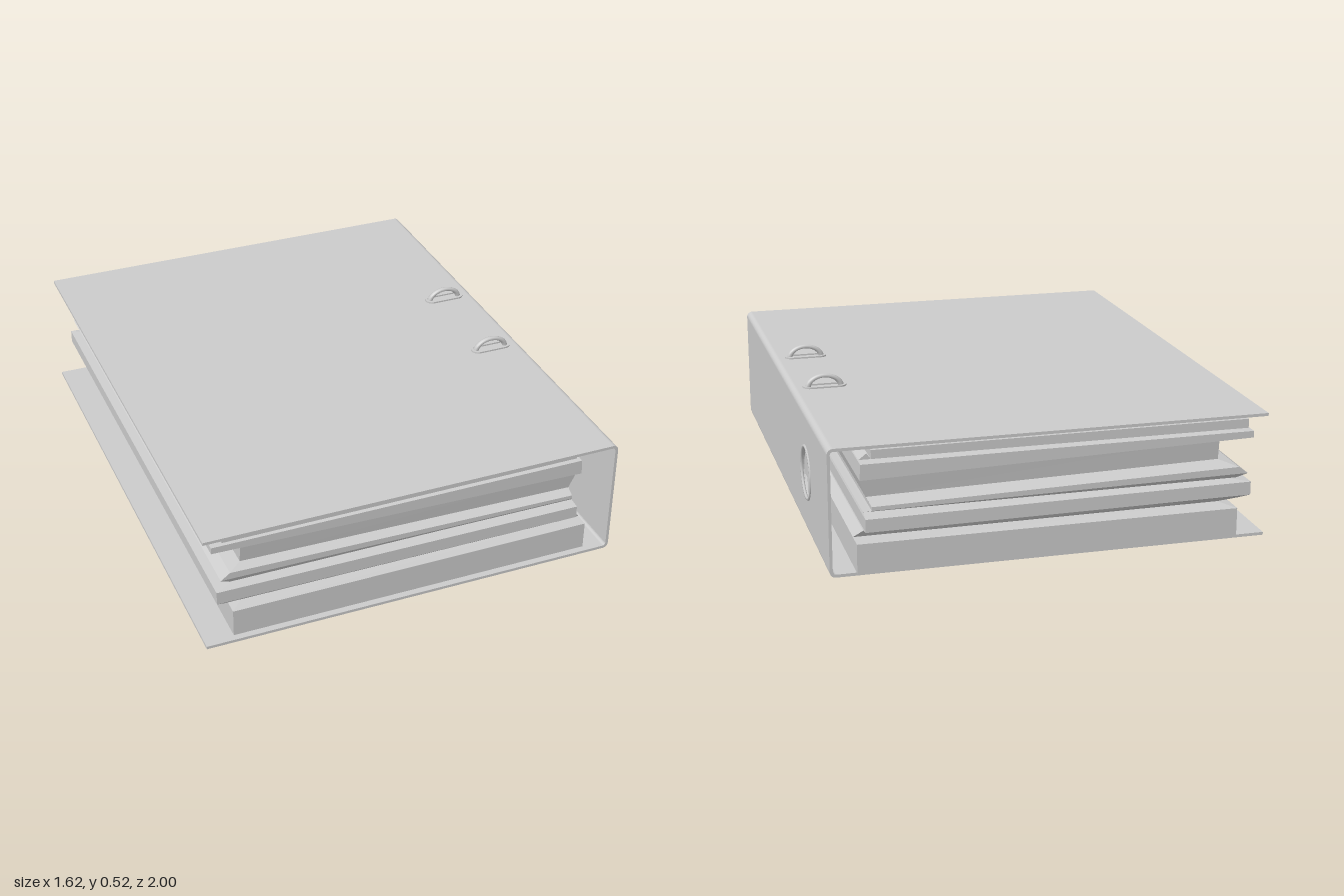
import * as THREE from 'three';

const W = 0.8, H = 0.468, T = 0.011, R = 0.022;   // cover edge, height, thickness, corner radius
const Z0 = -0.99, Z1 = 0.995;

export function createModel() {
  const group = new THREE.Group();
  const grey = new THREE.MeshStandardMaterial({ color: 0xcccccc });
  const paper = new THREE.MeshStandardMaterial({ color: 0xcccccc, flatShading: true, side: THREE.DoubleSide });
  const add = (name, geometry, material = grey, parent = group) => {
    const mesh = new THREE.Mesh(geometry, material);
    mesh.name = name;
    parent.add(mesh);
    return mesh;
  };

  // Cover boards, each ending in a rounded fold towards the spine
  const board = (top) => {
    const s = new THREE.Shape();
    const y = (v) => (top ? H - v : v);
    s.moveTo(-0.81, y(0));
    s.lineTo(W - R, y(0));
    s.absarc(W - R, y(R), R, top ? Math.PI / 2 : -Math.PI / 2, 0, top);
    s.lineTo(W - T, y(R));
    s.absarc(W - R, y(R), R - T, 0, top ? Math.PI / 2 : -Math.PI / 2, !top);
    s.lineTo(-0.81, y(T));
    const g = new THREE.ExtrudeGeometry(s, { depth: Z1 - Z0, bevelEnabled: false, curveSegments: 4 });
    return g.translate(0, 0, Z0);
  };
  add('topCover', board(true));
  add('bottomCover', board(false));

  // Spine with the finger hole, drawn in (-z, y)
  const holeZ = -0.54, holeY = 0.235, holeR = 0.098;
  const spine = new THREE.Shape();
  spine.moveTo(-Z1, R);
  spine.lineTo(-Z0, R);
  spine.lineTo(-Z0, H - R);
  spine.lineTo(-Z1, H - R);
  const hole = new THREE.Path();
  hole.absarc(-holeZ, holeY, holeR, 0, Math.PI * 2, true);
  spine.holes.push(hole);
  add('spine', new THREE.ExtrudeGeometry(spine, { depth: T, bevelEnabled: false, curveSegments: 16 })
    .rotateY(Math.PI / 2).translate(W - T, 0, 0));

  // Metal rim around the finger hole
  const rim = add('fingerHoleRim', new THREE.TorusGeometry(holeR, 0.006, 6, 32).rotateY(Math.PI / 2));
  rim.position.set(W, holeY, holeZ);

  // Paper stack lofted from uneven rectangles:
  // [y at left, y at right, left x, right x, back z, front z]
  const rows = [
    [0.011, 0.011, -0.70, 0.705, -1.00, 0.97],
    [0.118, 0.118, -0.70, 0.705, -1.00, 0.97],
    [0.125, 0.120, -0.65, 0.705, -0.93, 0.92],
    [0.140, 0.148, -0.72, 0.672, -0.95, 0.94],
    [0.160, 0.152, -0.755, 0.670, -0.985, 0.96],
    [0.210, 0.200, -0.755, 0.670, -0.985, 0.96],
    [0.218, 0.208, -0.66, 0.667, -0.93, 0.92],
    [0.230, 0.228, -0.70, 0.655, -0.98, 0.94],
    [0.250, 0.236, -0.735, 0.650, -1.00, 0.95],
    [0.276, 0.250, -0.70, 0.650, -1.00, 0.95],
    [0.285, 0.260, -0.65, 0.655, -0.92, 0.91],
    [0.370, 0.335, -0.65, 0.682, -0.93, 0.92],
    [0.373, 0.338, -0.765, 0.685, -0.97, 0.945],
    [0.398, 0.396, -0.765, 0.682, -0.97, 0.945],
    [0.402, 0.400, -0.65, 0.680, -0.93, 0.92],
    [0.420, 0.422, -0.65, 0.652, -0.93, 0.92],
    [0.422, 0.424, -0.73, 0.650, -1.00, 0.96],
    [0.456, 0.456, -0.73, 0.650, -1.00, 0.96],
  ];
  const pos = [], idx = [];
  for (const [yl, yr, x0, x1, z0, z1] of rows) {
    pos.push(x0, yl, z1, x1, yr, z1, x1, yr, z0, x0, yl, z0);
  }
  for (let r = 0; r < rows.length - 1; r++) {
    for (let c = 0; c < 4; c++) {
      const a = r * 4 + c, b = r * 4 + (c + 1) % 4;
      idx.push(a, b, b + 4, a, b + 4, a + 4);
    }
  }
  const t = (rows.length - 1) * 4;
  idx.push(0, 2, 1, 0, 3, 2, t, t + 1, t + 2, t, t + 2, t + 3);
  const stack = new THREE.BufferGeometry();
  stack.setAttribute('position', new THREE.Float32BufferAttribute(pos, 3));
  stack.setIndex(idx);
  stack.computeVertexNormals();
  add('paperStack', stack, paper);

  // Stadium outline used by the slot eyelets
  const stadium = (path, half, r) => {
    path.absarc(half, 0, r, -Math.PI / 2, Math.PI / 2, false);
    path.absarc(-half, 0, r, Math.PI / 2, Math.PI * 1.5, false);
    path.closePath();
    return path;
  };

  // Two rings: posts, arch over the cover and an eyelet around each slot
  for (const z of [0.195, -0.24]) {
    const ring = new THREE.Group();
    ring.name = 'ringMechanism';
    ring.position.set(0.673, 0, z);
    group.add(ring);
    const half = 0.064, y0 = H - 0.004;
    const arch = add('ringArch', new THREE.TorusGeometry(half, 0.011, 8, 16, Math.PI), grey, ring);
    arch.position.y = y0;
    arch.scale.y = 0.72;
    for (const side of [-1, 1]) {
      const post = add('ringPost', new THREE.CylinderGeometry(0.011, 0.011, y0 - T, 10), grey, ring);
      post.position.set(side * half, (y0 + T) / 2, 0);
    }
    const foot = add('ringFoot', new THREE.BoxGeometry(0.16, 0.008, 0.05), grey, ring);
    foot.position.y = T + 0.004;
    const eyelet = stadium(new THREE.Shape(), 0.055, 0.028);
    eyelet.holes.push(stadium(new THREE.Path(), 0.055, 0.018));
    add('slotEyelet', new THREE.ExtrudeGeometry(eyelet, { depth: 0.006, bevelEnabled: false, curveSegments: 8 })
      .rotateX(-Math.PI / 2).translate(0, H, 0), grey, ring);
  }
  return group;
}
